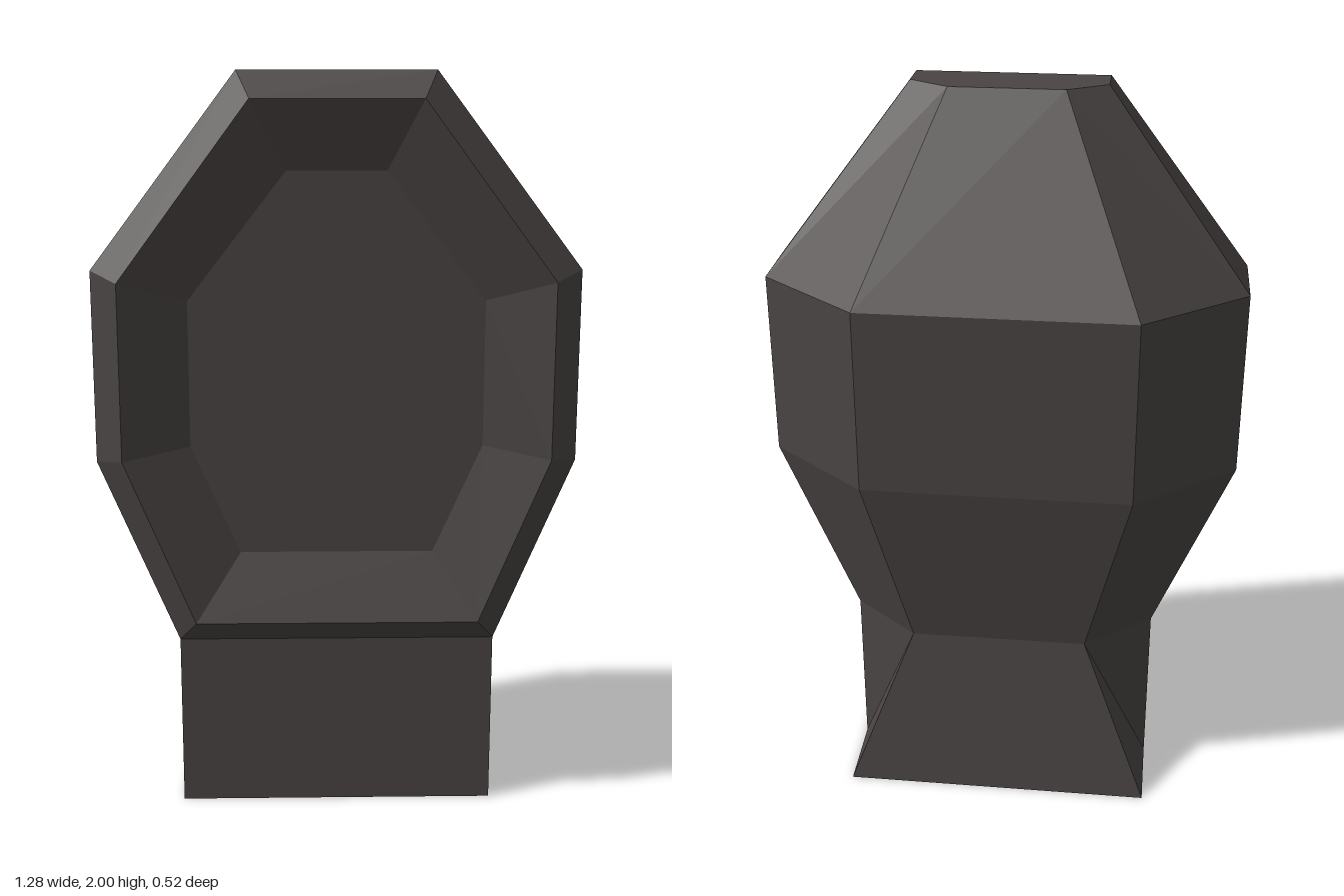
import * as THREE from 'three';

// Non-indexed geometry from a list of corner points, three per triangle
function facets(points) {
  const g = new THREE.BufferGeometry();
  g.setAttribute('position', new THREE.Float32BufferAttribute(points.flat(), 3));
  g.computeVertexNormals();
  return g;
}

const fan = (ring) => ring.slice(2).flatMap((p, i) => [ring[0], ring[i + 1], p]);

// Quad a-b-c-d, split along a-c or b-d
const quad = (a, b, c, d, flip) => flip ? [a, b, d, b, c, d] : [a, b, c, a, c, d];

// Mirrored cross-section: right half from front to back, then the left half
const mirrorRing = (half) => [...half, ...[...half].reverse().map(([x, y, z]) => [-x, y, z])];

export function createModel() {
  const group = new THREE.Group();
  const charcoal = new THREE.MeshStandardMaterial({ color: 0x4a4544 });
  charcoal.name = 'charcoal';
  charcoal.flatShading = true;

  const add = (name, points) => {
    const mesh = new THREE.Mesh(facets(points), charcoal);
    mesh.name = name;
    group.add(mesh);
  };

  // Cross-sections: y, then x and z of the front, side and back corners
  const rings = [
    [0.00, 0.43, 0.19, 0.43, -0.035, 0.43, -0.26],
    [0.48, 0.43, 0.19, 0.43, -0.035, 0.245, -0.185],
    [0.985, 0.64, 0.19, 0.64, -0.035, 0.365, -0.26],
    [1.495, 0.64, 0.19, 0.64, -0.035, 0.365, -0.26],
    [2.00, 0.255, 0.19, 0.255, 0.09, 0.15, 0.025],
  ].map(([y, fx, fz, sx, sz, bx, bz]) => mirrorRing([[fx, y, fz], [sx, y, sz], [bx, y, bz]]));

  // Sides and back of one storey of the body
  const wall = (lo, hi) => [0, 1, 2, 3, 4].flatMap((i) =>
    quad(lo[i], lo[i + 1], hi[i + 1], hi[i], i > 2));

  // Neck, with its flat front and underside
  add('neck', [
    ...wall(rings[0], rings[1]),
    ...quad(rings[0][5], rings[0][0], rings[1][0], rings[1][5]),
    ...fan([...rings[0]].reverse()),
  ]);

  // Head shell and its flat top
  const shell = [];
  for (let i = 1; i < 4; i++) shell.push(...wall(rings[i], rings[i + 1]));
  add('headShell', [...shell, ...fan(rings[4])]);

  // Octagons around the face, anticlockwise from the lower right corner
  const octagon = (z, ...half) => mirrorRing(half.map(([x, y]) => [x, y, z]));
  const outer = octagon(0.19, [0.43, 0.48], [0.64, 0.985], [0.64, 1.495], [0.255, 2]);
  const crest = octagon(0.26, [0.38, 0.55], [0.565, 1.0], [0.565, 1.47], [0.22, 1.93]);
  const inner = octagon(0.19, [0.26, 0.73], [0.39, 1.025], [0.39, 1.415], [0.13, 1.75]);
  const band = (a, b) => a.flatMap((p, i) => {
    const j = (i + 1) % a.length;
    return quad(p, a[j], b[j], b[i]);
  });

  // Bevelled rim, sloping recess and sunken face
  add('rim', band(outer, crest));
  add('recessSlope', band(crest, inner));
  add('recessFace', fan(inner));

  return group;
}
